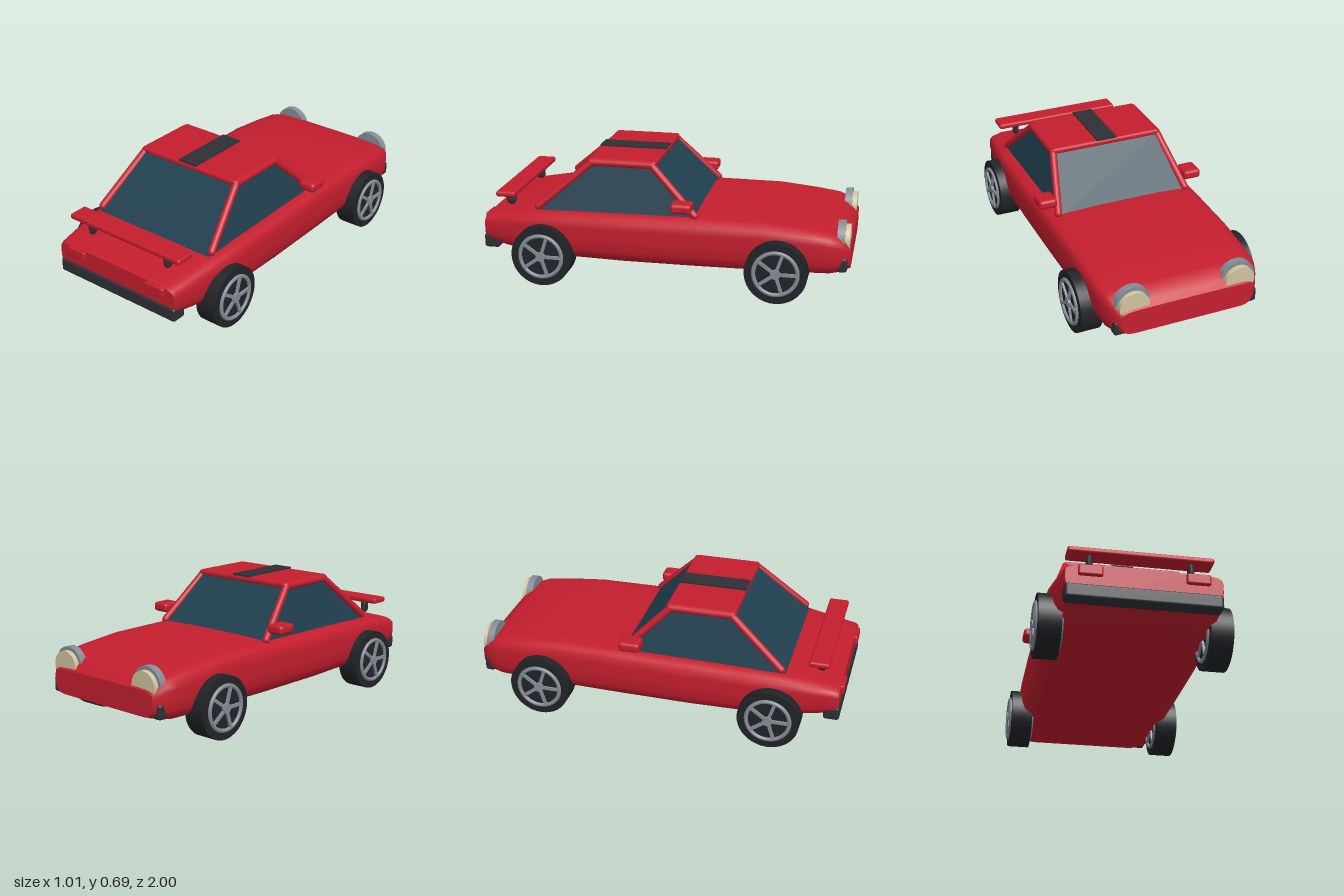
import * as THREE from 'three';
import { RoundedBoxGeometry } from 'three/addons/geometries/RoundedBoxGeometry.js';

const paint = (color) => new THREE.MeshStandardMaterial({ color });
const RED = paint(0xc41e2e), BLACK = paint(0x212327), TRIM = paint(0x2e3035);
const METAL = paint(0x858c96), CREAM = paint(0xd0c4a0), GLASS = paint(0x20404f);

function add(parent, name, geometry, material, x = 0, y = 0, z = 0) {
  const mesh = new THREE.Mesh(geometry, material);
  mesh.name = name;
  mesh.position.set(x, y, z);
  parent.add(mesh);
  return mesh;
}

// Rounded box given by its extents on each axis
function box(parent, name, mat, [x0, x1], [y0, y1], [z0, z1], r = 0.012) {
  const g = new RoundedBoxGeometry(x1 - x0, y1 - y0, z1 - z0, 3, r);
  return add(parent, name, g, mat, (x0 + x1) / 2, (y0 + y1) / 2, (z0 + z1) / 2);
}

// Round bar between two points
function bar(parent, name, mat, a, b, r) {
  const p = new THREE.Vector3(...a), q = new THREE.Vector3(...b);
  const mesh = add(parent, name, new THREE.CapsuleGeometry(r, p.distanceTo(q), 4, 14), mat);
  mesh.position.copy(p).add(q).multiplyScalar(0.5);
  mesh.quaternion.setFromUnitVectors(new THREE.Vector3(0, 1, 0), q.sub(p).normalize());
  return mesh;
}

// Body shell: rounded cross-sections lofted from nose (-z) to tail (+z)
function bodyGeometry() {
  // z, half width, bottom, top
  const stations = [
    [-1.0, 0.36, 0.165, 0.3], [-0.975, 0.385, 0.158, 0.33], [-0.94, 0.405, 0.148, 0.358],
    [-0.89, 0.423, 0.142, 0.375], [-0.75, 0.432, 0.14, 0.392], [-0.55, 0.436, 0.137, 0.411],
    [-0.2, 0.44, 0.133, 0.411], [0.2, 0.443, 0.132, 0.406], [0.5, 0.443, 0.138, 0.402],
    [0.68, 0.435, 0.148, 0.393], [0.85, 0.412, 0.165, 0.366], [0.965, 0.395, 0.185, 0.347],
    [0.982, 0.388, 0.19, 0.338],
  ];
  // half profile, as fractions of half width and height, from top centre to bottom centre
  const profile = [
    [0, 1], [0.45, 0.997], [0.75, 0.985], [0.87, 0.965], [0.95, 0.915], [0.99, 0.84],
    [1, 0.7], [1, 0.45], [0.985, 0.25], [0.95, 0.11], [0.89, 0.025], [0.82, 0], [0, 0],
  ];
  const ring = [...profile, ...profile.slice(1, -1).reverse().map(([x, y]) => [-x, y])];
  const n = ring.length, pos = [], idx = [];
  const addRing = ([z, w, b, t]) => ring.forEach(([x, y]) => pos.push(x * w, b + y * (t - b), z));
  stations.forEach(addRing);
  for (let s = 0; s < stations.length - 1; s++) {
    for (let i = 0; i < n; i++) {
      const a = s * n + i, b = s * n + (i + 1) % n;
      idx.push(a, a + n, b, b, a + n, b + n);
    }
  }
  // end caps with their own vertices, so the rims stay crisp
  [[stations[0], false], [stations.at(-1), true]].forEach(([st, tail]) => {
    const start = pos.length / 3;
    addRing(st);
    pos.push(0, (st[2] + st[3]) / 2, st[0]);
    for (let i = 0; i < n; i++) {
      const a = start + i, b = start + (i + 1) % n, c = start + n;
      if (tail) idx.push(c, b, a);
      else idx.push(c, a, b);
    }
  });
  const g = new THREE.BufferGeometry();
  g.setAttribute('position', new THREE.Float32BufferAttribute(pos, 3));
  g.setIndex(idx);
  g.computeVertexNormals();
  return g;
}

// Cabin glass: tapered block, moved from a unit box
function cabinGlass() {
  const g = new THREE.BoxGeometry(1, 1, 1).toNonIndexed();
  const p = g.attributes.position;
  for (let i = 0; i < p.count; i++) {
    const top = p.getY(i) > 0, back = p.getZ(i) > 0, sx = Math.sign(p.getX(i));
    p.setXYZ(i, sx * (top ? 0.308 : 0.373), top ? 0.66 : 0.39,
      top ? (back ? 0.4 : 0.055) : (back ? 0.698 : -0.197));
  }
  g.computeVertexNormals();
  return g;
}

// Wheel along the x axis, trimmed with a spoked rim on both faces
function wheel(name) {
  const group = new THREE.Group();
  group.name = name;
  add(group, 'tyre', new THREE.CylinderGeometry(0.165, 0.165, 0.118, 40), BLACK).rotation.z = Math.PI / 2;
  for (const s of [-1, 1]) {
    const rim = new THREE.Group();
    rim.name = 'rim';
    rim.position.x = s * 0.061;
    rim.rotation.y = s * Math.PI / 2;
    group.add(rim);
    add(rim, 'rimRing', new THREE.TorusGeometry(0.115, 0.011, 8, 40), METAL);
    add(rim, 'hub', new THREE.CylinderGeometry(0.026, 0.026, 0.026, 20), METAL).rotation.x = Math.PI / 2;
    for (let i = 0; i < 5; i++) {
      const a = (i * 2 * Math.PI) / 5;
      const spoke = add(rim, 'spoke', new THREE.BoxGeometry(0.1, 0.017, 0.014), METAL,
        0.062 * Math.cos(a), 0.062 * Math.sin(a), 0.002);
      spoke.rotation.z = a;
    }
  }
  return group;
}

export function createModel() {
  const car = new THREE.Group();
  car.name = 'car';

  add(car, 'body', bodyGeometry(), RED);

  // Cabin
  add(car, 'cabinGlass', cabinGlass(), GLASS);
  box(car, 'roof', RED, [-0.318, 0.318], [0.642, 0.677], [0.04, 0.413], 0.015);
  add(car, 'roofStripe', new THREE.BoxGeometry(0.115, 0.01, 0.37), TRIM, 0, 0.68, 0.227);

  // Tail: bumper and spoiler
  box(car, 'rearBumper', TRIM, [-0.39, 0.39], [0.158, 0.235], [0.905, 0.99], 0.015);
  box(car, 'spoiler', RED, [-0.37, 0.37], [0.445, 0.476], [0.812, 0.92]);

  for (const s of [-1, 1]) {
    const side = new THREE.Group();
    side.name = s > 0 ? 'leftSide' : 'rightSide';
    car.add(side);
    const span = (a, b) => (s > 0 ? [a, b] : [-b, -a]);

    bar(side, 'windscreenPillar', RED, [s * 0.308, 0.652, 0.062], [s * 0.374, 0.412, -0.18], 0.02);
    bar(side, 'rearPillar', RED, [s * 0.308, 0.652, 0.395], [s * 0.374, 0.412, 0.675], 0.02);
    bar(side, 'roofRail', RED, [s * 0.308, 0.655, 0.062], [s * 0.308, 0.655, 0.395], 0.02);
    box(side, 'mirror', RED, span(0.375, 0.474), [0.446, 0.498], [-0.177, -0.065], 0.018);

    box(side, 'tailLight', RED, span(0.205, 0.327), [0.278, 0.335], [0.96, 1.0], 0.01);
    const post = add(side, 'spoilerPost', new THREE.CapsuleGeometry(0.028, 0.03, 4, 14), TRIM,
      s * 0.257, 0.415, 0.87);
    post.scale.x = 0.62;

    // Headlight: metal housing with a lens in front
    add(side, 'headlightHousing', new THREE.CylinderGeometry(0.095, 0.095, 0.04, 32), METAL,
      s * 0.288, 0.318, -0.947).rotation.x = Math.PI / 2;
    add(side, 'headlightLens', new THREE.CylinderGeometry(0.08, 0.08, 0.03, 32), CREAM,
      s * 0.288, 0.314, -0.978).rotation.x = Math.PI / 2;
    box(side, 'frontBumperGuard', TRIM, span(0.338, 0.393), [0.16, 0.24], [-0.985, -0.93], 0.015);

    for (const [name, z] of [['frontWheel', -0.627], ['rearWheel', 0.635]]) {
      const w = wheel(name);
      w.position.set(s * 0.431, 0.165, z);
      side.add(w);
    }
  }
  return car;
}
